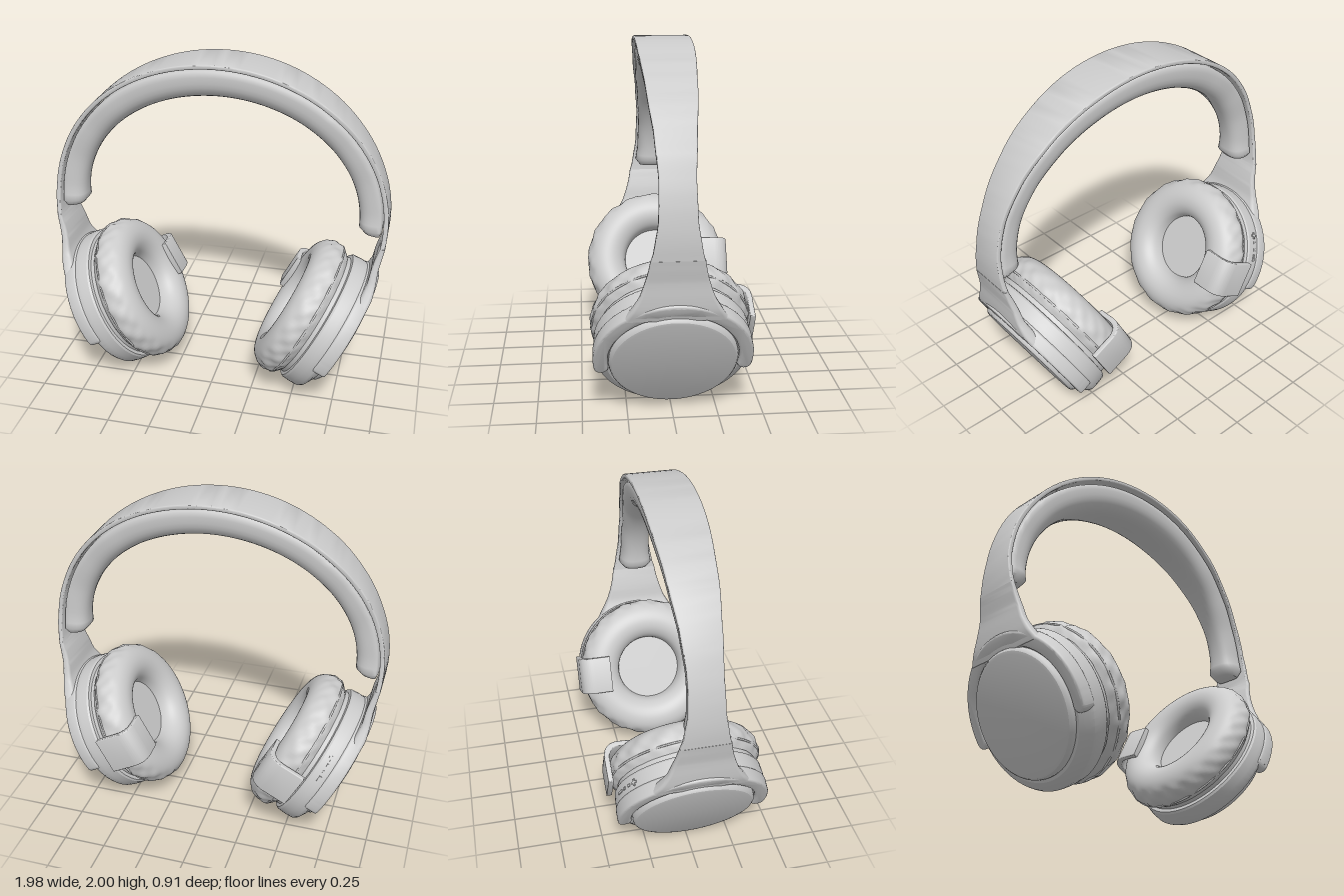
import * as THREE from 'three';
import { mergeVertices, toCreasedNormals } from 'three/addons/utils/BufferGeometryUtils.js';

const V = (x, y, z) => new THREE.Vector3(x, y, z);
const TILT = 28 * Math.PI / 180;
const T = 0.66; // cup centre, measured along the tilted up direction
const material = new THREE.MeshStandardMaterial({ color: 0xcccccc, roughness: 0.6 });

function add(parent, name, geometry) {
  const mesh = new THREE.Mesh(geometry, material);
  mesh.name = name;
  parent.add(mesh);
  return mesh;
}

// Skins a list of equal-length rings, closes both ends and faces outward
function loft(rings, crease = 0.7) {
  const n = rings[0].length, pts = rings.flat(), idx = [];
  for (let i = 0; i < rings.length - 1; i++) {
    for (let j = 0; j < n; j++) {
      const a = i * n + j, b = i * n + (j + 1) % n;
      idx.push(a, b, a + n, b, b + n, a + n);
    }
  }
  [rings[0], rings.at(-1)].forEach((ring, e) => {
    const c = pts.length, base = e ? (rings.length - 1) * n : 0;
    pts.push(ring.reduce((s, p) => s.add(p), V(0, 0, 0)).divideScalar(n));
    for (let j = 0; j < n; j++) {
      const a = base + j, b = base + (j + 1) % n;
      idx.push(...(e ? [c, a, b] : [c, b, a]));
    }
  });
  let volume = 0;
  for (let i = 0; i < idx.length; i += 3) {
    volume += pts[idx[i]].dot(pts[idx[i + 1]].clone().cross(pts[idx[i + 2]]));
  }
  if (volume < 0) idx.reverse();
  const g = new THREE.BufferGeometry().setFromPoints(pts);
  g.setIndex(idx);
  return toCreasedNormals(g, crease);
}

function lookup(table, y) {
  for (let i = 1; i < table.length; i++) {
    const [y0, w0] = table[i - 1], [y1, w1] = table[i];
    if (y <= y1) return w0 + (w1 - w0) * THREE.MathUtils.smoothstep(y, y0, y1) * 0.5
      + (w1 - w0) * 0.5 * Math.max(0, (y - y0) / (y1 - y0));
  }
  return table.at(-1)[1];
}
const bandHalfWidth = y => lookup(
  [[0.98, 0.14], [1.05, 0.122], [1.2, 0.1], [1.4, 0.095], [1.6, 0.11], [1.8, 0.135], [2, 0.16]], y);

// Rounded-rectangle ring: u runs across (-1..1), v along z (-1..1)
function boxRing(place, bu, bv) {
  const ring = [];
  [[1, 1], [-1, 1], [-1, -1], [1, -1]].forEach(([su, sv], q) => {
    for (let k = 0; k <= 3; k++) {
      const a = (q + k / 3) * Math.PI / 2;
      ring.push(place(su * (1 - bu) + bu * Math.cos(a), sv * (1 - bv) + bv * Math.sin(a)));
    }
  });
  return ring;
}

const arch = (a, inset) => V((0.99 - inset) * Math.cos(a), 1.1 + (0.9 - inset) * Math.sin(a), 0);

function headband(group) {
  const shell = [], pad = [], N = 72;
  for (let i = 0; i <= N; i++) {
    const a = -0.13 + (Math.PI + 0.26) * i / N;
    const outer = arch(a, 0), inner = arch(a, 0.027), w = bandHalfWidth(outer.y);
    shell.push(boxRing((u, v) =>
      inner.clone().lerp(outer, (u + 1) / 2).setZ(v * w), 0.5, 0.06));
  }
  add(group, 'headbandShell', loft(shell));

  // Cushion under the band: flat back, rounded inner side, rounded ends
  for (let i = 0; i <= N; i++) {
    const f = i / N, a = -0.08 + (Math.PI + 0.16) * f;
    const end = Math.min(1, Math.min(f, 1 - f) / 0.014);
    const k = 0.7 + 0.3 * Math.sqrt(1 - (1 - end) ** 2);
    const back = arch(a, 0.032);
    const front = V(0.82 * Math.cos(a), 1.1 + 0.69 * Math.sin(a), 0);
    const w = bandHalfWidth(back.y + 0.03) * 0.9, ring = [];
    for (let j = 0; j < 32; j++) {
      const t = j / 32 * Math.PI * 2, c = Math.cos(t), s = Math.sin(t);
      const d = c < 0 ? -(Math.abs(c) ** 0.3) * 0.25 : c ** 0.8 * 0.75;
      ring.push(back.clone().lerp(front, 0.25 + d * k)
        .setZ(Math.sign(s) * Math.abs(s) ** 0.75 * w * k));
    }
    pad.push(ring);
  }
  add(group, 'headbandPad', loft(pad, 0.9));
}

function lathe(points, segments = 72, crease = 0.5) {
  const g = new THREE.LatheGeometry(points.map(p => new THREE.Vector2(...p)), segments);
  g.deleteAttribute('uv');
  g.deleteAttribute('normal');
  return toCreasedNormals(mergeVertices(g), crease);
}

// Soft ring with light wrinkles around its outer wall
function cushionGeometry() {
  const curve = new THREE.SplineCurve([[0.215, 0.29], [0.2, 0.23], [0.215, 0.16], [0.26, 0.115],
    [0.32, 0.1], [0.38, 0.115], [0.425, 0.155], [0.445, 0.21], [0.438, 0.26], [0.405, 0.298]]
    .map(p => new THREE.Vector2(...p)));
  const g0 = new THREE.LatheGeometry(curve.getPoints(40), 120);
  g0.deleteAttribute('uv');
  g0.deleteAttribute('normal');
  const g = mergeVertices(g0), p = g.attributes.position;
  for (let i = 0; i < p.count; i++) {
    const x = p.getX(i), y = p.getY(i), z = p.getZ(i), r = Math.hypot(x, z), a = Math.atan2(z, x);
    const m = THREE.MathUtils.smoothstep(r, 0.39, 0.44);
    const k = 1 + m * 0.009 * (Math.sin(17 * a + 40 * y) + 0.6 * Math.sin(29 * a - 55 * y)) - m * 0.006;
    p.setXYZ(i, x * k, y, z * k);
  }
  g.computeVertexNormals();
  return g;
}

function extrude(shape, depth, bevel) {
  const g = new THREE.ExtrudeGeometry(shape, { depth: depth - 2 * bevel, curveSegments: 40,
    bevelSize: bevel, bevelThickness: bevel, bevelOffset: -bevel, bevelSegments: 3 });
  return toCreasedNormals(g.translate(0, 0, bevel), 0.6);
}

// Local axes of a cup: x up along the face, y outward, z across
function earCup(side) {
  const cup = new THREE.Group();
  cup.name = side > 0 ? 'leftEarCup' : 'rightEarCup';
  const up = V(side * Math.sin(TILT), Math.cos(TILT), 0);
  const out = V(side * Math.cos(TILT), -Math.sin(TILT), 0);
  cup.quaternion.setFromRotationMatrix(new THREE.Matrix4().makeBasis(up, out, V(0, 0, -side)));
  cup.position.copy(up).multiplyScalar(T);

  add(cup, 'cupHousing', lathe([[0, 0.28], [0.4, 0.28], [0.4, 0.325], [0.42, 0.328], [0.428, 0.34],
    [0.432, 0.39], [0.43, 0.435], [0.418, 0.455], [0.37, 0.485], [0.355, 0.485], [0, 0.485]]));
  add(cup, 'outerPlate', lathe([[0.352, 0.46], [0.352, 0.5], [0.348, 0.512], [0.338, 0.522],
    [0.322, 0.526], [0, 0.526]]));
  add(cup, 'earCushion', cushionGeometry());
  add(cup, 'speakerCover', lathe([[0, 0.225], [0.21, 0.225]]));
  add(cup, 'cushionSeam', new THREE.TorusGeometry(0.437, 0.006, 6, 96).rotateX(Math.PI / 2))
    .position.y = 0.255;

  // Fork arms hugging the plate
  const arms = new THREE.Shape(), A = 1.72, e = 0.0395;
  arms.absarc(0, 0, 0.437, -A, A, false);
  arms.absarc(0.397 * Math.cos(A), 0.397 * Math.sin(A), e, A, A + Math.PI, false);
  arms.absarc(0, 0, 0.358, A, -A, true);
  arms.absarc(0.397 * Math.cos(A), -0.397 * Math.sin(A), e, Math.PI - A, 2 * Math.PI - A, false);
  add(cup, 'forkArms', extrude(arms, 0.085, 0.014).rotateX(-Math.PI / 2)).position.y = 0.418;

  // Strap folded over the rear of the cushion
  const strap = new THREE.Shape();
  strap.moveTo(0.465, 0.31);
  strap.lineTo(0.465, 0.16);
  strap.quadraticCurveTo(0.46, 0.07, 0.37, 0.07);
  strap.lineTo(0.27, 0.075);
  strap.lineTo(0.27, 0.135);
  strap.lineTo(0.29, 0.135);
  strap.lineTo(0.3, 0.1);
  strap.lineTo(0.36, 0.1);
  strap.quadraticCurveTo(0.435, 0.1, 0.435, 0.18);
  strap.lineTo(0.435, 0.31);
  add(cup, 'rearStrap', extrude(strap, 0.23, 0.006).translate(0, 0, -0.115)
    .rotateY(side > 0 ? -Math.PI / 2 : Math.PI / 2));

  // Control buttons on one cup's rear rim
  if (side < 0) {
    [[18, 0.045, 0.014], [25, 0.018, 0.014], [31, 0.018, 0.014], [37, 0.04, 0.012], [37, 0.012, 0.04]]
      .forEach(([deg, length, height]) => {
        const pivot = new THREE.Group();
        pivot.name = 'button';
        pivot.rotation.y = (90 - deg) * Math.PI / 180;
        add(pivot, 'buttonCap', new THREE.BoxGeometry(0.014, height, length)).position.set(0.43, 0.385, 0);
        cup.add(pivot);
      });
  }
  return cup;
}

// Stem flaring from the band down to the fork
function stem(group, side) {
  const rows = [[0.984, 0.956, 0.99, 0.14], [0.972, 0.935, 0.93, 0.15], [0.957, 0.915, 0.86, 0.168],
    [0.95, 0.9, 0.78, 0.195], [0.937, 0.865, 0.7, 0.24], [0.912, 0.835, 0.64, 0.28]];
  const curve = new THREE.CatmullRomCurve3(rows.map(r => V(r[0], r[1], r[3])));
  const heights = new THREE.CatmullRomCurve3(rows.map(r => V(r[2], 0, 0)));
  const rings = [];
  for (let i = 0; i <= 20; i++) {
    const c = curve.getPoint(i / 20), y = heights.getPoint(i / 20).x;
    rings.push(boxRing((u, v) =>
      V((c.x + c.y) / 2 + u * (c.x - c.y) / 2, y, v * c.z), 0.6, 0.1));
  }
  add(group, side > 0 ? 'leftStem' : 'rightStem', loft(rings)).rotation.y = side > 0 ? 0 : Math.PI;
}

export function createModel() {
  const model = new THREE.Group();
  model.name = 'headphones';
  headband(model);
  for (const side of [1, -1]) {
    model.add(earCup(side));
    stem(model, side);
  }
  return model;
}
